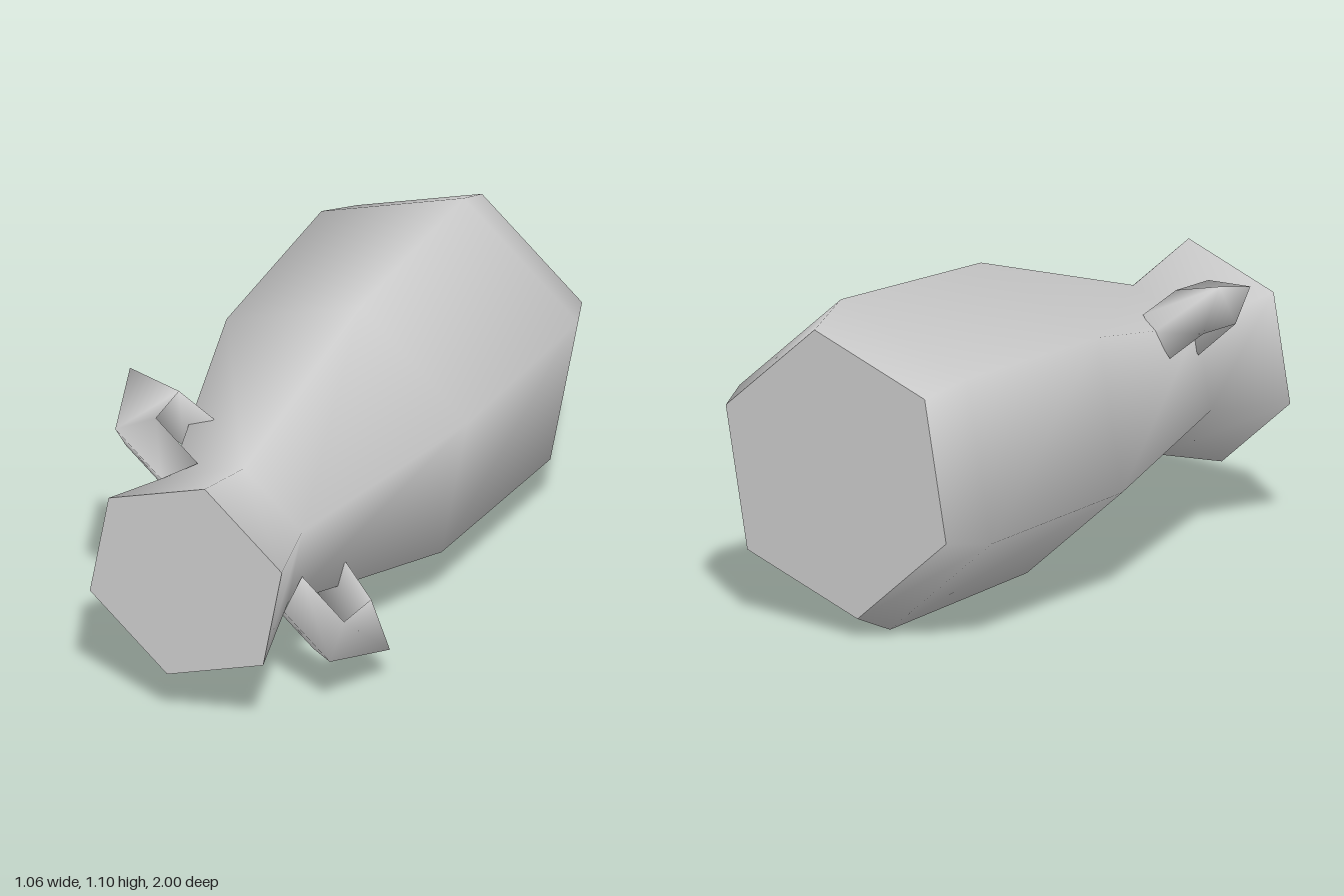
import * as THREE from 'three';

export function createModel() {
  const model = new THREE.Group();
  model.name = 'amphora';
  const clay = new THREE.MeshStandardMaterial({ color: 0xcccccc });
  clay.name = 'pale grey clay';
  const axisY = 0.553;
  const corner = THREE.MathUtils.degToRad(19.4); // angle of one hexagon corner

  const add = (geometry, name, angle = 0, z = 0) => {
    const mesh = new THREE.Mesh(geometry, clay);
    mesh.name = name;
    mesh.position.set(0, axisY, z);
    mesh.rotation.z = angle;
    model.add(mesh);
    return mesh;
  };

  // Six-sided body lying along z: radius and z, from base to mouth
  const profile = [[0.49, -1], [0.56, -0.84], [0.526, -0.09], [0.287, 0.68], [0.378, 1]];
  const body = new THREE.LatheGeometry(profile.map(([r, z]) => new THREE.Vector2(r, z)), 6);
  body.rotateX(Math.PI / 2);
  add(body, 'body', corner + Math.PI / 2);

  // Flat ends
  add(new THREE.CircleGeometry(0.378, 6), 'mouth', corner, 1);
  add(new THREE.CircleGeometry(0.49, 6).rotateY(Math.PI), 'base', corner, -1);

  // Angular handle with a triangular section: [outer r, outer z, inner r, inner z]
  const sections = [
    [0.38, 0.345, 0.322, 0.42],
    [0.636, 0.455, 0.47, 0.455],
    [0.525, 0.73, 0.46, 0.64],
    [0.3, 0.73, 0.255, 0.64],
  ];
  const halfWidth = 0.087;
  const positions = [];
  const index = [];
  sections.forEach(([ro, zo, ri, zi], s) => {
    positions.push(ro, 0, zo, ri, halfWidth, zi, ri, -halfWidth, zi);
    if (s === 0) return;
    for (let i = 0; i < 3; i++) {
      const j = (i + 1) % 3;
      const a = (s - 1) * 3;
      const b = s * 3;
      index.push(a + i, a + j, b + j, a + i, b + j, b + i);
    }
  });
  const handle = new THREE.BufferGeometry();
  handle.setAttribute('position', new THREE.Float32BufferAttribute(positions, 3));
  handle.setIndex(index);
  handle.computeVertexNormals();

  // Handles on two opposite corners of the neck
  add(handle, 'leftHandle', corner - Math.PI / 3);
  add(handle, 'rightHandle', corner + (Math.PI * 2) / 3);

  return model;
}
